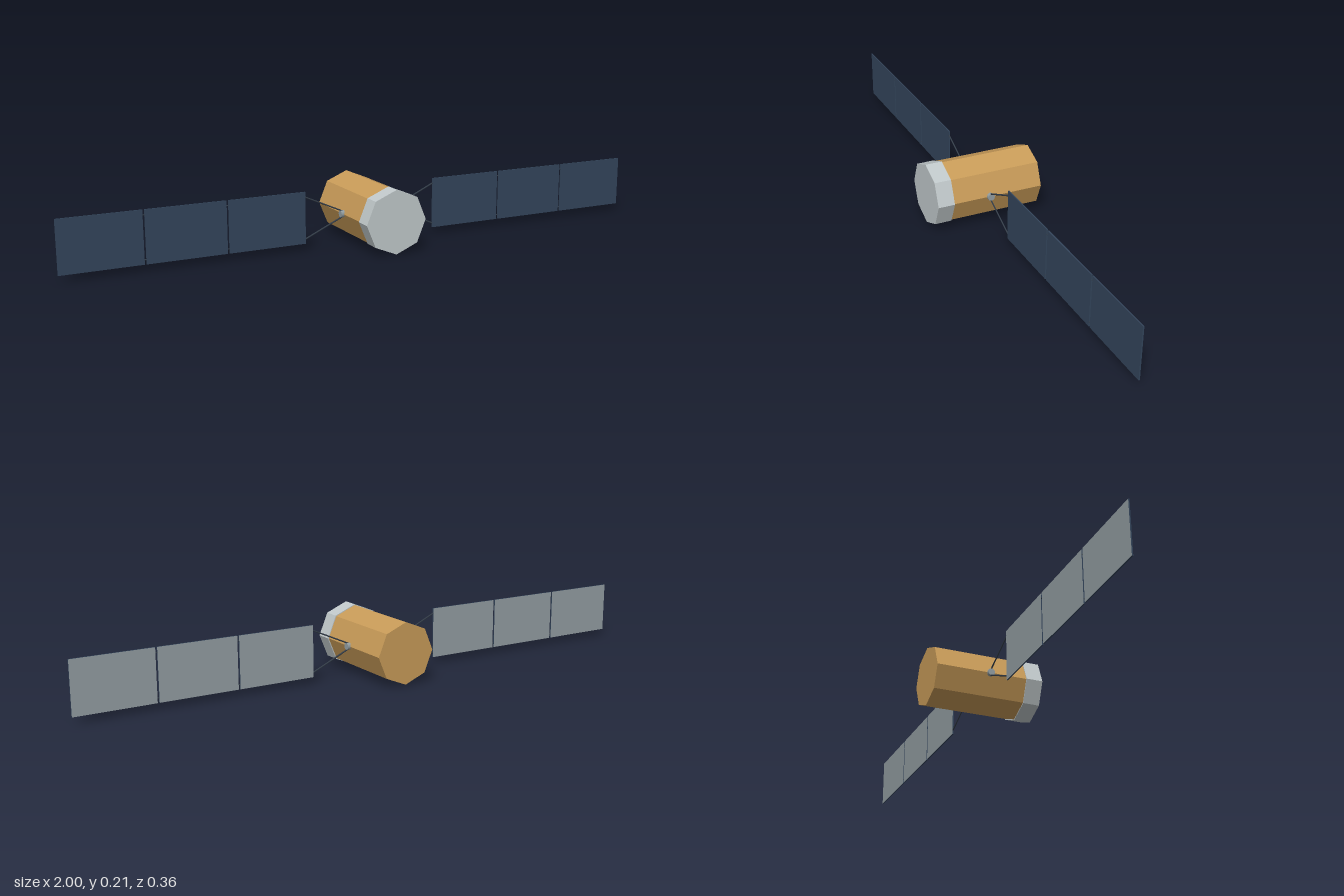
import * as THREE from 'three';

const material = (name, color) => {
  const m = new THREE.MeshStandardMaterial({ color });
  m.name = name;
  return m;
};

export function createModel() {
  const gold = material('gold foil', 0xc89b58);
  const silver = material('silver', 0xc0c8ca);
  const navy = material('solar cell blue', 0x33455b);
  const grey = material('panel back grey', 0x939ea2);
  const dark = material('dark strut', 0x343e4a);

  const model = new THREE.Group();
  model.name = 'satellite';
  const CY = 0.104; // height of the main axis

  const add = (parent, name, geometry, mat) => {
    const mesh = new THREE.Mesh(geometry, mat);
    mesh.name = name;
    parent.add(mesh);
    return mesh;
  };

  // Flat-sided prism along z, corners at top, bottom and sides
  const prism = (radius, z0, z1) =>
    new THREE.CylinderGeometry(radius, radius, z1 - z0, 8).toNonIndexed()
      .rotateX(Math.PI / 2).translate(0, CY, (z0 + z1) / 2);

  // Thin rod between two points
  const rod = (parent, name, a, b, radius) => {
    const from = new THREE.Vector3(...a), dir = new THREE.Vector3(...b).sub(from);
    const mesh = add(parent, name, new THREE.CylinderGeometry(radius, radius, dir.length(), 6), dark);
    mesh.position.copy(from).addScaledVector(dir, 0.5);
    mesh.quaternion.setFromUnitVectors(new THREE.Vector3(0, 1, 0), dir.normalize());
  };

  // Octagonal body and front cap
  const flatten = (g) => { g.computeVertexNormals(); return g; };
  add(model, 'body', flatten(prism(0.1, -0.178, 0.123)), gold);
  add(model, 'frontCap', flatten(prism(0.103, 0.123, 0.178)), silver);

  // One wing per side: hub, two slanted struts, rails and three panels
  for (const side of [1, -1]) {
    const wing = new THREE.Group();
    wing.name = side > 0 ? 'leftWing' : 'rightWing';
    model.add(wing);

    const hub = add(wing, 'hub', new THREE.CylinderGeometry(0.012, 0.012, 0.016, 8), grey);
    hub.rotation.z = Math.PI / 2;
    hub.position.set(side * 0.1, CY, 0);

    for (const up of [1, -1]) {
      const railY = CY + up * 0.068;
      rod(wing, 'strut', [side * 0.1, CY + up * 0.009, 0], [side * 0.23, railY, 0], 0.0025);
      rod(wing, 'rail', [side * 0.229, railY, 0], [side * 0.999, railY, 0], 0.0019);
    }

    // Blue on the front and rims, grey on the back
    const faces = [navy, navy, navy, navy, navy, grey];
    for (let i = 0; i < 3; i++) {
      const panel = add(wing, 'solarPanel', new THREE.BoxGeometry(0.253, 0.167, 0.004), faces);
      panel.position.set(side * (0.3555 + i * 0.259), CY + 0.001, 0);
    }
  }
  return model;
}
